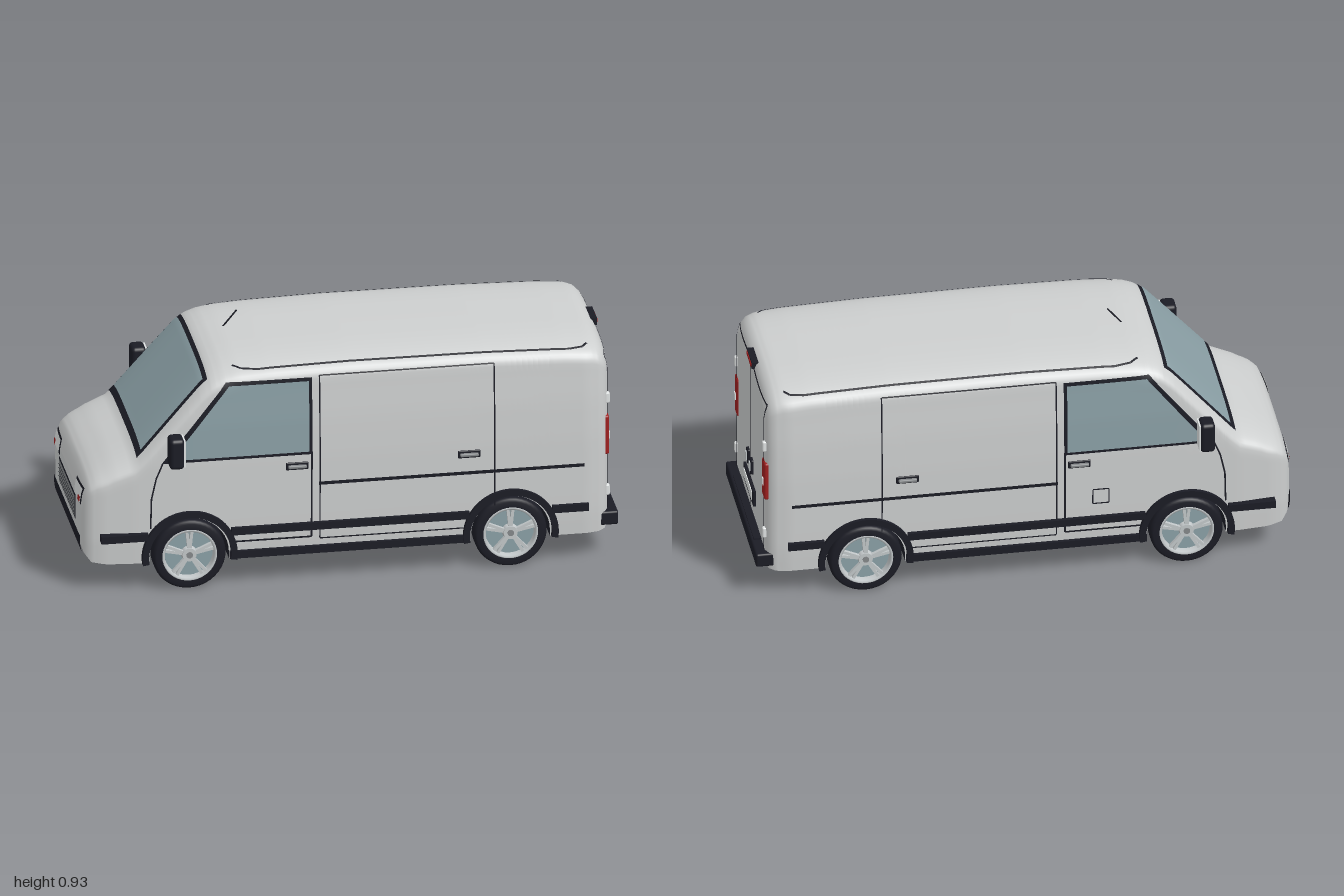
import * as THREE from 'three';
import { mergeGeometries } from 'three/addons/utils/BufferGeometryUtils.js';
import { RoundedBoxGeometry } from 'three/addons/geometries/RoundedBoxGeometry.js';

const mat = (name, color) => new THREE.MeshStandardMaterial({ name, color, side: THREE.DoubleSide });
const paint = mat('paint', 0xcdcfcf), black = mat('black trim', 0x1b1c25), glass = mat('tinted glass', 0x8ba0a6);
const red = mat('red lens', 0x9e1f1f), silver = mat('silver', 0xc3c8ca), pale = mat('pale plate', 0xe0e3e3);
const grey = mat('grey mesh', 0x85888a);

// Piecewise linear curve through [t, value] pairs
const curve = (pts) => (t) => {
  if (t <= pts[0][0]) return pts[0][1];
  for (let i = 1; i < pts.length; i++) if (t <= pts[i][0]) {
    const [a, b] = [pts[i - 1], pts[i]];
    return a[1] + (b[1] - a[1]) * (t - a[0]) / (b[0] - a[0]);
  }
  return pts[pts.length - 1][1];
};

// Body rules: the van points to -x
const FRONT = -0.992, REAR = 0.962, AXLES = [-0.6, 0.595], ARCH = 0.147, HUB = 0.136, N = 3.4;
const roofY = curve([[-.992, .36], [-.985, .4], [-.97, .435], [-.94, .462], [-.88, .497], [-.8, .53], [-.77, .56], [-.55, .81],
  [-.51, .843], [-.47, .858], [-.42, .867], [-.3, .874], [0, .88], [.5, .877], [.8, .868], [.9, .86], [.93, .85], [.95, .832], [.962, .805]]);
const baseY = curve([[-.992, .19], [-.985, .15], [-.96, .118], [-.9, .11], [.92, .11], [.95, .115], [.962, .125]]);
const plan = curve([[-.992, .8], [-.98, .87], [-.96, .915], [-.92, .95], [-.8, .985], [-.6, 1], [.88, 1], [.93, .97], [.95, .93], [.962, .865]]);
const sideW = curve([[.11, .346], [.2, .352], [.5, .356], [.65, .352], [.78, .343], [.88, .33]]);
const shoulder = curve([[-.992, .05], [-.9, .08], [-.5, .1]]);
const floorY = (x) => {
  for (const c of AXLES) if (Math.abs(x - c) < ARCH) return HUB + Math.sqrt(ARCH ** 2 - (x - c) ** 2);
  return baseY(x);
};
const halfW = (x, y) => {
  const h = shoulder(x), y0 = roofY(x) - h, t = Math.min(1, (y - y0) / h);
  return t <= 0 ? plan(x) * sideW(y) : plan(x) * sideW(y0) * (1 - t ** N) ** (1 / N);
};
const topY = (x, z) => {
  const h = shoulder(x), y0 = roofY(x) - h, t = Math.min(1, Math.abs(z) / (plan(x) * sideW(y0)));
  return y0 + h * (1 - t ** N) ** (1 / N);
};
const endX = (y, z, end) => {
  const inside = (x) => y < roofY(x) && y > baseY(x) && Math.abs(z) < halfW(x, y);
  let a = Math.sign(end) * 0.85, b = end;
  if (inside(b)) return b;
  for (let i = 0; i < 24; i++) { const m = (a + b) / 2; if (inside(m)) a = m; else b = m; }
  return a;
};

// Surface made of rows of points
function skin(rows) {
  const w = rows[0].length, idx = [], g = new THREE.BufferGeometry();
  for (let i = 0; i + 1 < rows.length; i++) for (let j = 0; j + 1 < w; j++) {
    const a = i * w + j;
    idx.push(a, a + 1, a + w, a + 1, a + w + 1, a + w);
  }
  g.setAttribute('position', new THREE.Float32BufferAttribute(rows.flat(2), 3));
  g.setIndex(idx);
  g.computeVertexNormals();
  return g;
}
// Four-cornered patch laid on a mapped surface
function patch([a, b, c, d], map, nu = 16, nv = 12) {
  const mix = (p, q, t) => [p[0] + (q[0] - p[0]) * t, p[1] + (q[1] - p[1]) * t];
  return skin([...Array(nv + 1).keys()].map((i) => [...Array(nu + 1).keys()].map((j) =>
    map(...mix(mix(a, b, j / nu), mix(d, c, j / nu), i / nv)))));
}
// Thin line along a path on a mapped surface
const line = (pts, w, map) => mergeGeometries(pts.slice(1).map((q, i) => {
  const p = pts[i], l = Math.hypot(q[0] - p[0], q[1] - p[1]);
  const nx = -(q[1] - p[1]) / l * w / 2, ny = (q[0] - p[0]) / l * w / 2;
  return patch([[p[0] + nx, p[1] + ny], [q[0] + nx, q[1] + ny], [q[0] - nx, q[1] - ny], [p[0] - nx, p[1] - ny]], map, 24, 1);
}));
const onSide = (s, o) => (x, y) => [x, y, s * (halfW(x, y) + o)];
const onTop = (o) => (x, z) => [x, topY(x, z) + o, z];
const onEnd = (end, o) => (z, y) => [endX(y, z, end) + Math.sign(end) * o, y, z];
const rect = (x0, x1, y0, y1) => [[x0, y0], [x1, y0], [x1, y1], [x0, y1]];

export function createModel() {
  const van = new THREE.Group();
  van.name = 'panelVan';
  const add = (name, geo, m, parent = van) => {
    const mesh = new THREE.Mesh(geo, m);
    mesh.name = name;
    parent.add(mesh);
    return mesh;
  };
  const box = (name, x0, x1, y0, y1, z0, z1, m, r = 0) => {
    const s = [x1 - x0, y1 - y0, Math.abs(z1 - z0)];
    return add(name, r ? new RoundedBoxGeometry(...s, 3, r) : new THREE.BoxGeometry(...s), m)
      .position.set((x0 + x1) / 2, (y0 + y1) / 2, (z0 + z1) / 2);
  };

  // Body shell from cross-sections along x
  let xs = [FRONT, -.988, -.985, -.98, -.97, -.96, -.95, -.94, -.92, .91, .92, .93, .94, .95, .956, REAR];
  for (let x = -.9; x < .905; x += .02) xs.push(x);
  for (const c of AXLES) {
    for (let i = 1; i < 20; i++) xs.push(c - ARCH * Math.cos(i * Math.PI / 20));
    for (const s of [-1, 1]) xs.push(c + s * (ARCH - 1e-5), c + s * (ARCH + 1e-5));
  }
  xs.sort((a, b) => a - b);
  const ring = (x) => {
    const half = [], yb = floorY(x), h = shoulder(x), y0 = roofY(x) - h;
    for (let i = 0; i < 16; i++) { const y = yb + (y0 - yb) * i / 16; half.push([x, y, halfW(x, y)]); }
    const W = halfW(x, y0);
    for (let i = 0; i <= 16; i++) {
      const a = i / 16 * Math.PI / 2;
      half.push([x, y0 + h * Math.sin(a) ** (2 / N), i === 16 ? 0 : W * Math.cos(a) ** (2 / N)]);
    }
    return [...half, ...half.slice(0, -1).reverse().map(([a, b, c]) => [a, b, -c])];
  };
  add('bodyShell', skin(xs.map(ring)), paint);
  for (const x of [FRONT, REAR]) {
    const r = ring(x);
    add(x < 0 ? 'nosePanel' : 'rearPanel', skin([r, r.map(() => [x, (floorY(x) + roofY(x)) / 2, 0])]), paint);
    add('lowerEndPanel', skin([[r[0], r[r.length - 1]], [0, 1].map(() => [x, (floorY(x) + roofY(x)) / 2, 0])]), paint);
  }
  // Underside, with dark wheel wells running across
  const under = (name, a, b, m) => add(name, skin(xs.filter((x) => x >= a && x <= b).map((x) =>
    [-1, -.5, 0, .5, 1].map((t) => [x, floorY(x), t * halfW(x, floorY(x))]))), m);
  const e = ARCH + 5e-6;
  under('noseFloor', FRONT, AXLES[0] - e, paint);
  under('middleFloor', AXLES[0] + e, AXLES[1] - e, paint);
  under('rearFloor', AXLES[1] + e, REAR, paint);
  for (const c of AXLES) {
    under('wheelWell', c - ARCH - 2e-5, c + ARCH + 2e-5, black);
  }

  // Windscreen
  add('windscreenFrame', patch([[-.79, .31], [-.525, .297], [-.525, -.297], [-.79, -.31]], onTop(.004), 24, 24), black);
  add('windscreen', patch([[-.773, .296], [-.54, .284], [-.54, -.284], [-.773, -.296]], onTop(.008), 24, 24), glass);

  for (const s of [1, -1]) {
    const lines = (name, pts, w) => add(name, line(pts, w, onSide(s, .0035)), black);
    // Side window and door seams
    add('sideWindowFrame', patch([[-.705, .51], [-.143, .51], [-.143, .812], [-.462, .812]], onSide(s, .004)), black);
    add('sideWindow', patch([[-.672, .522], [-.155, .522], [-.155, .8], [-.452, .8]], onSide(s, .008)), glass);
    lines('frontDoorSeam', [[-.70, .512], [-.725, .45], [-.742, .37], [-.745, .25]], .006);
    lines('frontDoorRearSeam', [[-.146, .52], [-.146, .177], [-.44, .177]], .007);
    lines('slidingDoorSeam', [[-.115, .17], [-.115, .817], [.535, .817], [.535, .25]], .005);
    lines('slidingDoorSill', [[-.115, .168], [.44, .168]], .005);
    lines('slideRail', [[-.12, .39], [.87, .39]], .013);
    add('roofGutter', line([[-.43, s * .275], [-.4, s * .298], [-.34, s * .31], [.82, s * .31], [.87, s * .3], [.89, s * .28]],
      .008, onTop(.003)), black);
    // Rubbing strips and sill
    for (const [a, b] of [[-.93, -.755], [-.445, .44], [.75, .885]]) box('rubbingStrip', a, b, .208, .236, s * .335, s * .368, black);
    box('sillTrim', -.45, .445, .112, .14, s * .33, s * .362, black);
    for (const x of [-.2, .44]) {
      box('handleRecess', x - .042, x + .042, .45, .48, s * .35, s * .36, black, .004);
      box('doorHandle', x - .034, x + .034, .459, .471, s * .355, s * .372, grey, .004);
    }
    // Mirrors
    box('mirrorHousing', -.69, -.635, .525, .645, s * .384, s * .458, black, .015);
    box('mirrorGlass', -.637, -.631, .533, .638, s * .39, s * .452, pale);
    box('mirrorArm', -.68, -.65, .545, .568, s * .335, s * .395, black, .006);

    for (const c of AXLES) {
      // Arch flare
      const arc = new THREE.Shape();
      arc.absarc(0, 0, .177, -.15, Math.PI + .15, false);
      arc.absarc(0, 0, .153, Math.PI + .15, -.15, true);
      add('archFlare', new THREE.ExtrudeGeometry(arc, { depth: .033, bevelEnabled: false, curveSegments: 32 }), black)
        .position.set(c, HUB, s > 0 ? .335 : -.368);
      // Wheel
      const wheel = new THREE.Group();
      wheel.name = 'wheel';
      wheel.position.set(c, HUB, s * .317);
      if (s < 0) wheel.rotation.y = Math.PI;
      van.add(wheel);
      const lathe = (pts) => new THREE.LatheGeometry(pts.map((p) => new THREE.Vector2(...p)), 40).rotateX(Math.PI / 2);
      add('tyre', lathe([[.098, -.04], [.124, -.04], [.132, -.034], [.136, -.025], [.136, .025], [.132, .034], [.124, .04], [.101, .039]]), black, wheel);
      add('rim', lathe([[.102, .039], [.098, .041], [.092, .037], [.09, .01], [.09, -.038]]), silver, wheel);
      add('brakeDisc', new THREE.CylinderGeometry(.09, .09, .01, 32).rotateX(Math.PI / 2), glass, wheel).position.z = .008;
      add('hub', new THREE.CylinderGeometry(.026, .03, .02, 20).rotateX(Math.PI / 2), silver, wheel).position.z = .028;
      add('hubCap', new THREE.CylinderGeometry(.012, .012, .006, 16).rotateX(Math.PI / 2), grey, wheel).position.z = .039;
      for (let i = 0; i < 5; i++) for (const t of [-.1, .1]) {
        const spoke = new THREE.BoxGeometry(.011, .075, .014).translate(0, .058, .028).rotateZ(i * Math.PI * .4 + t);
        add('spoke', spoke, silver, wheel);
      }
    }
    // Headlights
    add('headlightFrame', patch(rect(s * .165, s * .285, .337, .402), onEnd(FRONT, .003)), black);
    add('headlight', patch(rect(s * .171, s * .279, .343, .396), onEnd(FRONT, .006)), pale);
    add('indicator', patch(rect(s * .245, s * .277, .345, .365), onEnd(FRONT, .008)), red);
    // Rear lights, hinges and rear door handles
    box('rearLight', .925, .968, .41, .565, s * .268, s * .325, red, .008);
    box('reverseLight', .96, .972, .468, .495, s * .293, s * .312, pale);
    for (const y of [.24, .61]) box('hinge', .945, .972, y, y + .042, s * .293, s * .312, pale, .005);
    box('rearHandlePlate', .955, .972, .356, .416, s * .022, s * .054, black, .005);
    box('rearHandle', .965, .976, .368, .404, s * .03, s * .046, silver);
    add('rearDoorSeam', line([[s * .295, .17], [s * .295, .8], [0, .818]], .006, onEnd(REAR, .003)), black);
  }

  // Fuel flap seam on the right-hand face
  add('fuelFlapSeam', line([[-.31, .29], [-.25, .29], [-.25, .35], [-.31, .35], [-.31, .29]], .005, onSide(-1, .0035)), black);

  // Front end
  add('frontBumperTrim', patch(rect(-.285, .285, .15, .215), onEnd(FRONT, .006), 32, 6), black);
  add('grilleFrame', patch(rect(-.18, .18, .232, .33), onEnd(FRONT, .003)), black);
  add('grille', patch(rect(-.172, .172, .24, .322), onEnd(FRONT, .005)), grey);
  for (let i = 1; i < 5; i++) add('grilleBar', line([[-.172, .24 + i * .0164], [.172, .24 + i * .0164]], .004, onEnd(FRONT, .007)), black);

  // Rear end
  add('rearCentreSeam', line([[0, .17], [0, .82]], .007, onEnd(REAR, .003)), black);
  box('rearBumper', .93, 1, .13, .184, -.335, .335, black, .008);
  box('bumperStep', .95, .99, .18, .189, -.228, .228, black);
  box('plateFrame', .955, .972, .252, .316, -.108, .108, black);
  box('plate', .965, .975, .268, .303, -.086, .086, pale);
  box('brakeLightHousing', .935, .968, .812, .838, -.055, .055, black);
  box('highBrakeLight', .96, .971, .818, .831, -.046, .046, red);
  const pipe = add('exhaust', new THREE.CylinderGeometry(.015, .015, .14, 16, 1, true).rotateZ(Math.PI / 2 - .06), silver);
  pipe.position.set(.855, .1, -.215);
  // Aerial
  const aerial = new THREE.LineCurve3(new THREE.Vector3(-.41, .865, -.043), new THREE.Vector3(-.358, .928, -.043));
  add('aerial', new THREE.TubeGeometry(aerial, 1, .003, 6), black);
  return van;
}
